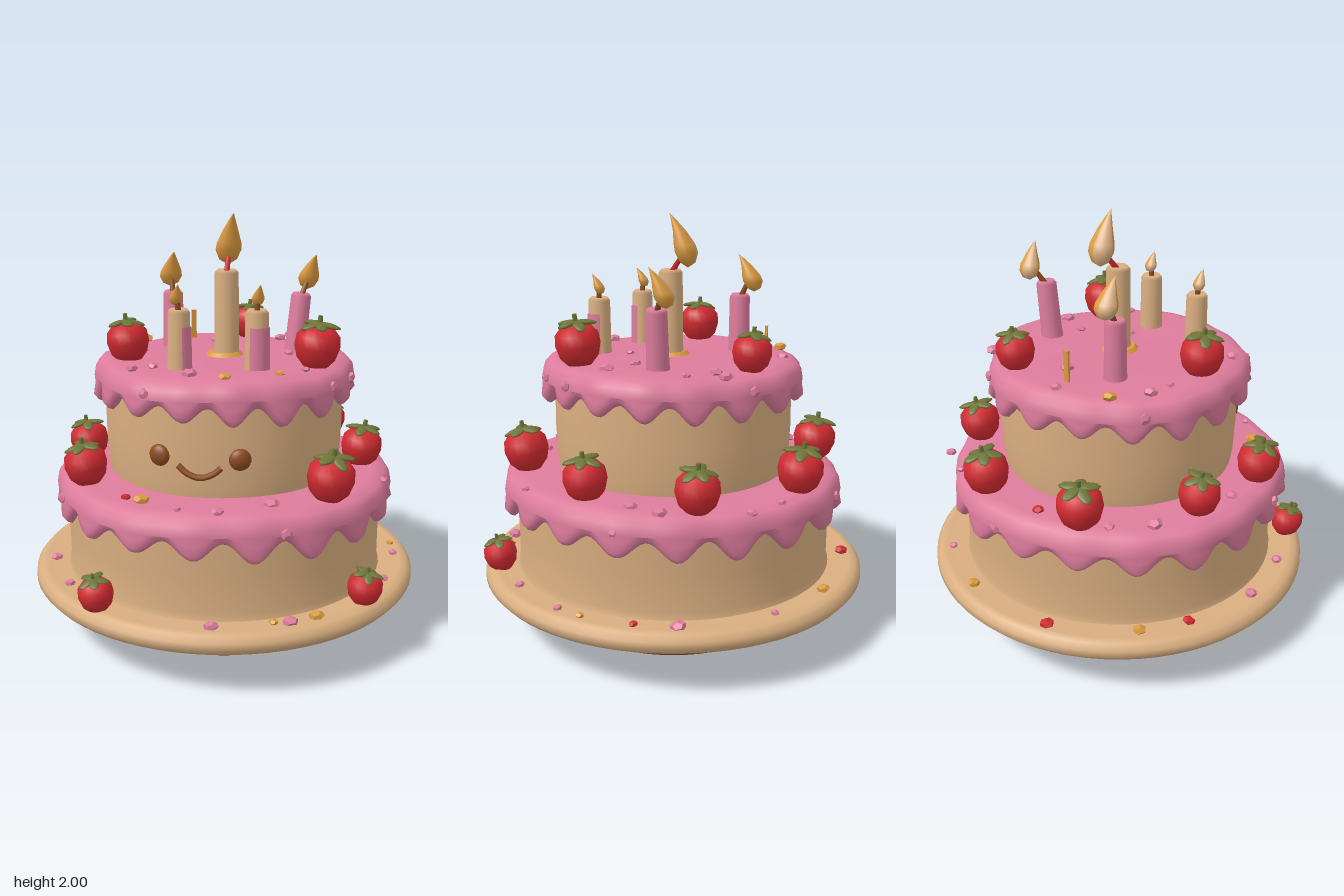
import * as THREE from 'three';

const mat = (name, color) => Object.assign(new THREE.MeshStandardMaterial({ color }), { name });
const V2 = (pts) => pts.map(([x, y]) => new THREE.Vector2(x, y));

function add(parent, name, geo, material, x = 0, y = 0, z = 0) {
  const m = new THREE.Mesh(geo, material);
  m.name = name;
  m.position.set(x, y, z);
  parent.add(m);
  return m;
}

// Icing cap: a disc whose rolled edge hangs down in scalloped drips
function icing({ R, wall, top, valley, depth, drips, phase }) {
  const N = 228, pos = [], idx = [];
  let rows = 0;
  for (let i = 0; i < N; i++) {
    const t = (i / N) * Math.PI * 2;
    const w = 0.5 + 0.5 * Math.cos(drips * (t - phase));
    const yb = valley - depth * w * (0.9 + 0.15 * Math.sin(3 * t + 1));
    const r = R + 0.008 * Math.sin(5 * t) + 0.008 * (w - 0.5);
    const yt = top + 0.006 * Math.sin(4 * t + 2);
    const profile = [
      [0, top], [r * 0.6, top], [r - 0.09, yt], [r - 0.035, yt - 0.015], [r - 0.008, yt - 0.045],
      [r, yt - 0.09], [r - 0.004, (yt - 0.09 + yb + 0.04) / 2], [r - 0.006 + 0.012 * w, yb + 0.035],
      [r - 0.016, yb + 0.008], [r - 0.035, yb], [wall - 0.02, yb + 0.03],
    ];
    rows = profile.length;
    for (const [pr, py] of profile) pos.push(pr * Math.sin(t), py, pr * Math.cos(t));
  }
  for (let i = 0; i < N; i++) for (let j = 0; j < rows - 1; j++) {
    const a = i * rows + j, b = ((i + 1) % N) * rows + j;
    if (j > 0) idx.push(a, b + 1, b);
    idx.push(a, a + 1, b + 1);
  }
  const g = new THREE.BufferGeometry();
  g.setAttribute('position', new THREE.Float32BufferAttribute(pos, 3));
  g.setIndex(idx);
  g.computeVertexNormals();
  return g;
}

export function createModel() {
  const root = new THREE.Group();
  root.name = 'cake';
  const sponge = mat('sponge tan', 0xd9ae80), pink = mat('pink icing', 0xdd7c9c);
  const red = mat('strawberry red', 0xcf2a30), green = mat('leaf green', 0x6c7438);
  const brown = mat('chocolate brown', 0x8a4a1e), orange = mat('flame orange', 0xdb9a40);

  // Foot and plate
  const footProfile = V2([[0, 0.02], [0.5, 0.02], [0.53, 0], [0.57, 0.015], [0.585, 0.05], [0.585, 0.07],
    [0.605, 0.1], [0.612, 0.16], [0.61, 0.23]]);
  add(root, 'foot', new THREE.LatheGeometry(footProfile, 64), brown);
  const patch = new THREE.LatheGeometry(V2([[0.612, 0.1], [0.618, 0.16], [0.616, 0.22]]), 24, Math.PI * 1.5, 1.2);
  const pp = patch.attributes.position;
  for (let i = 0; i < pp.count; i++) { // patch narrows towards the front
    const k = Math.max(0, pp.getZ(i) / 0.62);
    pp.setY(i, 0.22 - (0.22 - pp.getY(i)) * (1 - 0.6 * k * k));
  }
  add(root, 'footPatch', patch, sponge);
  add(root, 'plate', new THREE.LatheGeometry(V2([[0, 0.2], [0.6, 0.195], [0.86, 0.205], [0.925, 0.22], [0.95, 0.25],
    [0.948, 0.28], [0.925, 0.307], [0.89, 0.313], [0.84, 0.302], [0, 0.3]]), 72), sponge);

  // Tiers and their icing
  add(root, 'lowerTier', new THREE.LatheGeometry(V2([[0.79, 0.29], [0.775, 0.33], [0.775, 0.5], [0.785, 0.72]]), 64), sponge);
  add(root, 'upperTier', new THREE.LatheGeometry(V2([[0.56, 0.77], [0.572, 0.85], [0.578, 1.0], [0.575, 1.25]]), 64), sponge);
  add(root, 'lowerIcing', icing({ R: 0.83, wall: 0.78, top: 0.79, valley: 0.665, depth: 0.095, drips: 19, phase: 0.2 }), pink);
  add(root, 'upperIcing', icing({ R: 0.63, wall: 0.575, top: 1.33, valley: 1.205, depth: 0.085, drips: 17, phase: 0.14 }), pink);

  // Smiling face wrapped on the upper tier
  const onTier = (t, y, r = 0.58) => new THREE.Vector3(r * Math.sin(t), y, r * Math.cos(t));
  for (const t of [-0.81, -0.17]) {
    const eye = add(root, 'eye', new THREE.SphereGeometry(0.05, 20, 14), brown);
    eye.position.copy(onTier(t, 0.975));
    eye.rotation.y = t;
    eye.scale.z = 0.6;
  }
  const smile = [-1, -0.6, 0, 0.6, 1].map((k) => onTier(-0.48 + 0.17 * k, 0.89 + 0.05 * k * k, 0.582));
  add(root, 'mouth', new THREE.TubeGeometry(new THREE.CatmullRomCurve3(smile), 24, 0.014, 8), brown);

  // Strawberries: [x, y, z, scale]
  const body = new THREE.LatheGeometry(V2([[0, -0.02], [0.05, -0.01], [0.085, 0.03], [0.1, 0.085], [0.095, 0.13],
    [0.065, 0.165], [0, 0.175]]), 20);
  const leaf = new THREE.SphereGeometry(1, 8, 6).scale(0.027, 0.011, 0.05).translate(0, 0, 0.045);
  const stem = new THREE.CylinderGeometry(0.01, 0.013, 0.045, 6);
  const berries = [
    [-0.46, 1.33, -0.02, 1], [0.33, 1.33, 0.36, 1.06], [0.27, 1.33, -0.43, 0.9],
    [-0.25, 0.79, -0.66, 1.05], [0.28, 0.79, -0.66, 1.05], [-0.62, 0.79, -0.28, 0.95], [0.66, 0.79, -0.28, 1],
    [-0.7, 0.79, 0.13, 1], [0.63, 0.79, 0.23, 1], [0.29, 0.79, 0.65, 1.08],
    [-0.73, 0.31, 0.47, 0.8], [0.43, 0.31, 0.75, 0.8],
  ];
  berries.forEach(([x, y, z, s], n) => {
    const g = new THREE.Group();
    g.name = 'strawberry';
    g.position.set(x, y, z);
    g.scale.setScalar(s);
    g.rotation.set(z * 0.2, 0, -x * 0.2);
    add(g, 'berry', body, red);
    for (let i = 0; i < 5; i++) {
      const l = add(g, 'leaf', leaf, green, 0, 0.185, 0);
      l.rotation.set(0.15 + 0.18 * (i % 2), i * Math.PI * 0.4 + n, 0, 'YXZ');
    }
    add(g, 'stem', stem, green, 0, 0.195, 0);
    root.add(g);
  });

  // Candles with flames leaning back and tips curling forward
  const flameProfile = V2([[0, 0], [0.24, 0.1], [0.35, 0.28], [0.33, 0.43], [0.2, 0.68], [0.08, 0.88], [0, 1]]);
  const flamePart = (from, len, w, h) => {
    const g = new THREE.LatheGeometry(flameProfile, 14, from, len);
    const p = g.attributes.position;
    for (let i = 0; i < p.count; i++) {
      const y = p.getY(i);
      p.setZ(i, p.getZ(i) * 0.85 + 0.5 * y * y - 0.1);
    }
    g.scale(w, h, w);
    g.computeVertexNormals();
    return g;
  };
  const A = (d) => d * Math.PI / 180;
  const candles = [
    { x: 0.01, z: 0.01, r: 0.06, top: 1.74, h: 0.25, w: 0.18, dx: 0.035, dz: -0.075, m: sponge },
    { x: -0.18, z: -0.29, r: 0.052, top: 1.61, h: 0.18, w: 0.16, dx: 0.005, dz: -0.055, m: pink },
    { x: 0.38, z: -0.03, r: 0.052, top: 1.61, h: 0.18, w: 0.15, dx: 0.05, dz: -0.045, m: pink, tilt: -0.1 },
    { x: -0.285, z: 0.24, r: 0.053, top: 1.6, h: 0.1, w: 0.085, dx: -0.01, dz: 0, m: sponge, patch: 0 },
    { x: 0.045, z: 0.36, r: 0.055, top: 1.6, h: 0.1, w: 0.085, dx: 0.005, dz: 0, m: sponge, patch: -50 },
  ];
  for (const c of candles) {
    const g = new THREE.Group();
    g.name = 'candle';
    g.position.set(c.x, 1.32, c.z);
    g.rotation.z = c.tilt || 0;
    const H = c.top - 1.32;
    add(g, 'wax', new THREE.LatheGeometry(V2([[c.r * 1.08, -0.02], [c.r, 0.05], [c.r * 0.95, H - 0.015],
      [c.r * 0.75, H], [0, H - 0.008]]), 20), c.m);
    if (c.patch !== undefined) {
      const p = c.r + 0.003;
      add(g, 'waxDrip', new THREE.CylinderGeometry(p, p * 1.06, H * 0.72, 14, 1, true, A(c.patch), A(c.patch ? 160 : 80)),
        pink, 0, H * 0.36, 0);
    }
    const wick = add(g, 'wick', new THREE.CylinderGeometry(0.011, 0.014, 0.08, 8), c.h > 0.2 ? red : brown,
      c.dx * 0.4, H + 0.02, c.dz * 0.4);
    wick.rotation.set(c.dz * 8, 0, -c.dx * 8);
    add(g, 'flame', flamePart(A(-90), A(260), c.w, c.h), orange, c.dx, H + 0.012, c.dz);
    add(g, 'flameBack', flamePart(A(170), A(100), c.w, c.h), sponge, c.dx, H + 0.012, c.dz);
    root.add(g);
  }
  add(root, 'candleBase', new THREE.CylinderGeometry(0.075, 0.095, 0.02, 9), orange, 0, 1.337, 0.01);
  add(root, 'waferStick', new THREE.BoxGeometry(0.025, 0.16, 0.012), orange, -0.03, 1.4, -0.45);

  // Sugar pieces: height of the surface, material, then x, z pairs
  const bit = new THREE.DodecahedronGeometry(0.034, 0).scale(1, 0.6, 1);
  const scatter = [
    [1.337, pink, [-0.03, -0.53, -0.4, -0.34, -0.43, -0.23, 0.06, -0.33, 0.4, -0.3, 0.5, -0.19, 0.45, 0.19,
      0.3, 0.1, -0.4, 0.2, -0.28, 0.4, 0.24, 0.47, -0.5, 0.22, 0.48, -0.36, 0.06, 0.2]],
    [1.337, orange, [-0.28, -0.48, -0.15, 0.51, 0.1, 0.52]],
    [0.797, pink, [-0.53, -0.5, -0.38, -0.63, 0.66, -0.52, 0.01, 0.68, 0.62, 0.53, -0.7, -0.1, 0.72, 0, -0.4, 0.62,
      0.76, -0.14, -0.24, 0.7, 0.5, -0.62]],
    [0.797, orange, [-0.52, 0.46]],
    [0.797, red, [-0.58, 0.41, -0.04, -0.7]],
    [0.318, orange, [0.17, 0.84, -0.03, 0.84, -0.55, -0.64, 0.3, -0.8, 0.84, 0.2]],
    [0.318, pink, [0.04, 0.86, -0.82, 0.2, 0.62, 0.58, 0.83, -0.24, 0.8, 0.32, -0.84, -0.12, -0.3, 0.8, 0.6, -0.62]],
    [0.318, red, [-0.18, -0.84, -0.7, -0.46, 0.86, -0.05]],
  ];
  let n = 0;
  for (const [y, m, p] of scatter) for (let i = 0; i < p.length; i += 2) {
    const b = add(root, 'sugarPiece', bit, m, p[i], y, p[i + 1]);
    b.rotation.set(0.2 * Math.sin(n), n * 1.7, 0);
    b.scale.setScalar(0.85 + 0.25 * Math.sin(n++ * 2.3));
  }
  // Sugar pieces stuck on the icing sides
  for (let i = 0; i < 9; i++) {
    const t = i * 2.4 + 0.6, low = i % 2;
    const b = add(root, 'sidePiece', bit, pink);
    b.position.copy(onTier(t, low ? 0.71 : 1.26, low ? 0.83 : 0.63));
    b.rotation.set(Math.PI / 2, 0, -t);
    b.scale.setScalar(0.8);
  }
  return root;
}
